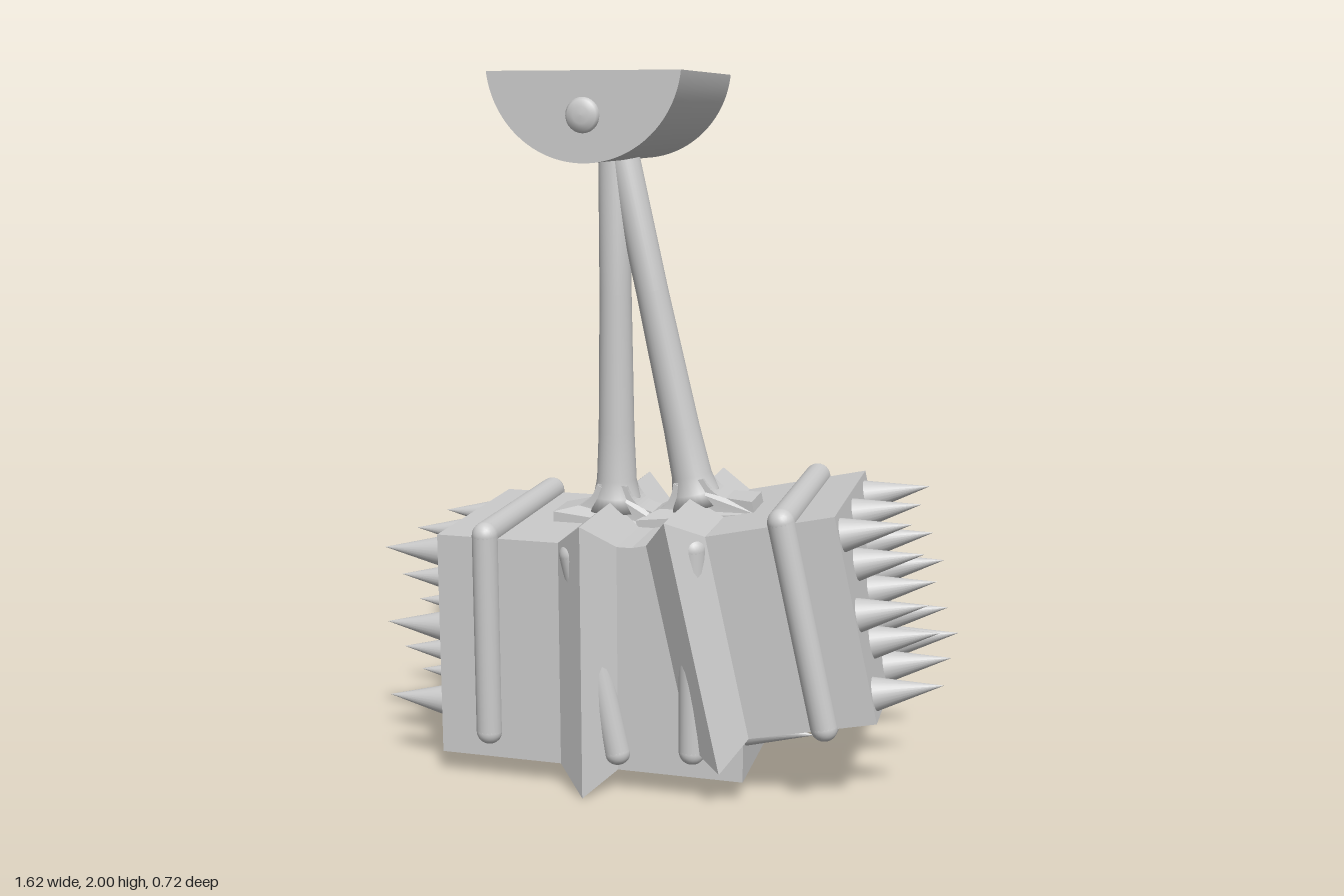
import * as THREE from 'three';

const mat = new THREE.MeshStandardMaterial({ color: 0xcccccc });
const thin = new THREE.MeshStandardMaterial({ color: 0xcccccc, side: THREE.DoubleSide });
const PIVOT = new THREE.Vector3(-0.177, 1.885, 0);

function add(parent, name, geo, x = 0, y = 0, z = 0, material = mat) {
  const mesh = new THREE.Mesh(geo, material);
  mesh.name = name;
  mesh.position.set(x, y, z);
  parent.add(mesh);
  return mesh;
}

const points = (list) => list.map(([x, y]) => new THREE.Vector2(x, y));

// Belt with a triangular section: a box whose middle loop is pushed outwards
function ridgeGeometry(height, depth, halfWidth, out) {
  const geo = new THREE.BoxGeometry(halfWidth * 2, height, depth, 2, 1, 1);
  const p = geo.attributes.position;
  for (let i = 0; i < p.count; i++) {
    if (Math.abs(p.getX(i)) > 1e-4) continue;
    p.setY(i, p.getY(i) + Math.sign(p.getY(i)) * out);
    p.setZ(i, p.getZ(i) + Math.sign(p.getZ(i)) * out);
  }
  const flat = geo.toNonIndexed();
  flat.computeVertexNormals();
  return flat;
}

// Rounded band around the head, made of four bars
function band(x) {
  const g = new THREE.Group();
  g.name = 'headBand';
  g.position.set(x, -1.4475, 0);
  const hy = 0.29, hz = 0.288, r = 0.038;
  for (const s of [-1, 1]) {
    add(g, 'bandSide', new THREE.CapsuleGeometry(r, hy * 2, 6, 20), 0, 0, s * hz);
    add(g, 'bandCross', new THREE.CapsuleGeometry(r, hz * 2, 6, 20), 0, s * hy, 0).rotation.x = Math.PI / 2;
  }
  return g;
}

// Flat foot that fixes the handle to the top of the head
function footGeometry() {
  const s = new THREE.Shape();
  s.moveTo(-0.175, -1.17);
  s.lineTo(-0.175, -1.135);
  s.lineTo(-0.1, -1.115);
  s.quadraticCurveTo(-0.06, -1.1, -0.045, -1.05);
  s.lineTo(0.045, -1.05);
  s.quadraticCurveTo(0.06, -1.1, 0.1, -1.115);
  s.lineTo(0.175, -1.135);
  s.lineTo(0.175, -1.17);
  const geo = new THREE.ExtrudeGeometry(s, { depth: 0.13, bevelEnabled: false, curveSegments: 8 });
  geo.translate(0, 0, -0.065);
  // narrow the foot towards the handle
  const p = geo.attributes.position;
  for (let i = 0; i < p.count; i++) {
    if (p.getY(i) > -1.12) p.setZ(i, p.getZ(i) * 0.8);
  }
  geo.computeVertexNormals();
  return geo;
}

// One swinging hammer, with its origin at the pivot
function hammer(name, bottom, angle) {
  const g = new THREE.Group();
  g.name = name;
  g.position.copy(PIVOT);
  g.rotation.z = angle;

  const top = -1.165, height = top - bottom, mid = (top + bottom) / 2;
  add(g, 'head', new THREE.BoxGeometry(0.89, height, 0.58), 0, mid);
  add(g, 'headRidge', ridgeGeometry(height, 0.58, 0.085, 0.068), 0, mid);
  for (const s of [-1, 1]) g.add(band(s * 0.3));

  // Spikes in alternating rows of three and two on both striking faces
  const spike = new THREE.ConeGeometry(0.047, 0.19, 24);
  for (const side of [-1, 1]) {
    for (let row = 0; row < 5; row++) {
      const columns = row % 2 ? [-0.12, 0.12] : [-0.23, 0, 0.23];
      for (const z of columns) {
        const m = add(g, 'spike', spike, side * 0.539, -1.23 - row * 0.1125, z);
        m.rotation.z = -side * Math.PI / 2;
      }
    }
  }

  // Handle, flaring at the foot
  const profile = points([[0, -1.15], [0.085, -1.13], [0.068, -1.09], [0.058, -1.04],
    [0.052, -0.9], [0.046, -0.5], [0.046, 0], [0, 0]]);
  add(g, 'handle', new THREE.LatheGeometry(profile, 28));
  add(g, 'handleFoot', footGeometry());
  return g;
}

// Open trough that carries the pivot
function mount() {
  const g = new THREE.Group();
  g.name = 'mount';
  g.position.copy(PIVOT);
  const R = 0.2685, cy = 0.1435, a = Math.acos(0.0285 / R);
  const down = -Math.PI / 2;

  // Curved shell, with its open side up
  const shell = new THREE.CylinderGeometry(R, R, 0.58, 48, 1, true, -a, 2 * a);
  shell.rotateX(Math.PI / 2);
  add(g, 'mountShell', shell, 0, cy, 0, thin);

  // End walls
  const wall = new THREE.Shape();
  wall.absarc(0, cy, R, down - a, down + a, false);
  wall.closePath();
  const wallGeo = new THREE.ShapeGeometry(wall, 48);
  for (const s of [-1, 1]) add(g, 'mountWall', wallGeo, 0, 0, s * 0.29, thin);

  // Hub filling the middle of the trough, with a gently arched top
  const b = Math.asin(0.25 / R);
  const hub = new THREE.Shape();
  hub.absarc(0, cy, R - 0.001, down - b, down + b, false);
  hub.quadraticCurveTo(0, 0.095, -0.25, 0.045);
  const hubGeo = new THREE.ExtrudeGeometry(hub, { depth: 0.15, bevelEnabled: false, curveSegments: 32 });
  add(g, 'hub', hubGeo, 0, 0, -0.078);

  // Waisted pin with domed ends
  const half = [[0.024, 0.06], [0.026, 0.12], [0.034, 0.2], [0.045, 0.265], [0.047, 0.29], [0.04, 0.3], [0.022, 0.306], [0, 0.307]];
  const profile = [...half.map(([r, y]) => [r, -y]).reverse(), ...half];
  const pin = new THREE.LatheGeometry(points(profile), 32);
  pin.rotateX(Math.PI / 2);
  add(g, 'pivotPin', pin);
  return g;
}

export function createModel() {
  const model = new THREE.Group();
  model.name = 'swingingHammers';
  model.add(mount());
  model.add(hammer('hangingHammer', -1.815, 0));
  model.add(hammer('swungHammer', -1.745, THREE.MathUtils.degToRad(12.5)));
  return model;
}
